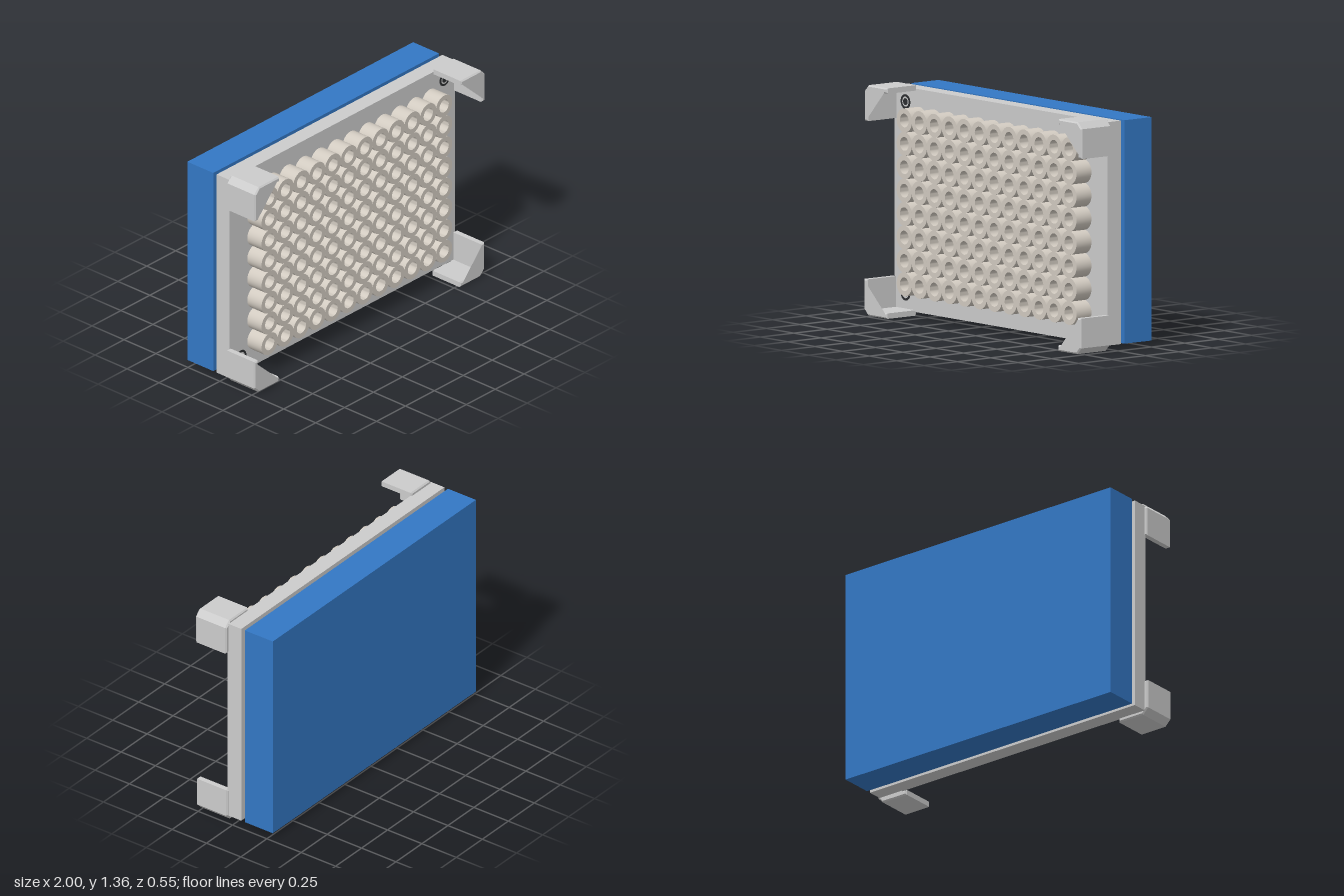
import * as THREE from 'three';
import { toCreasedNormals } from 'three/addons/utils/BufferGeometryUtils.js';

export function createModel() {
  const model = new THREE.Group();
  const mat = (color) => new THREE.MeshStandardMaterial({ color });
  const grey = mat(0xcccccc), blue = mat(0x3377c4), black = mat(0x2c2e30), beige = mat(0xd2cbc1);

  const add = (name, geometry, material, x, y, z, parent = model) => {
    const mesh = new THREE.Mesh(geometry, material);
    mesh.name = name;
    mesh.position.set(x, y, z);
    parent.add(mesh);
    return mesh;
  };

  // Ring profile spun around z, from z = 0 to z = depth
  const ring = (outer, inner, depth, segments = 32) => {
    const profile = [[outer, 0], [outer, depth], [inner, depth], [inner, 0]]
      .map(([r, h]) => new THREE.Vector2(r, h));
    const geometry = new THREE.LatheGeometry(profile, segments).rotateX(Math.PI / 2);
    return toCreasedNormals(geometry, 0.6);
  };
  const disc = (r, depth) => new THREE.CylinderGeometry(r, r, depth, 32).rotateX(Math.PI / 2);

  // Rear block and front plate
  const midY = 0.688;
  add('rearBlock', new THREE.BoxGeometry(1.953, 1.31, 0.203), blue, -0.003, midY, -0.1715);
  add('frontPlate', new THREE.BoxGeometry(1.953, 1.31, 0.1), grey, -0.003, midY, 0.006);

  // Grid of open tubes
  const tubes = new THREE.Group();
  tubes.name = 'tubeGrid';
  model.add(tubes);
  const tube = ring(0.07, 0.04, 0.112);
  const pitch = 0.1372;
  for (let row = 0; row < 8; row++) {
    for (let col = 0; col < 12; col++) {
      add('tube', tube, beige, (col - 5.5) * pitch, 0.69 + (row - 3.5) * pitch, 0.056, tubes);
    }
  }

  // Spacers joining plate and block, with a ringed screw head in front
  const spacer = disc(0.045, 0.08), rim = ring(0.043, 0.03, 0.004);
  const washer = disc(0.032, 0.004), core = disc(0.02, 0.004);
  for (const x of [-0.879, 0.881]) {
    for (const y of [0.134, 1.257]) {
      add('spacer', spacer, black, x, y, -0.04);
      add('screwRim', rim, black, x, y, 0.055);
      add('screwWasher', washer, grey, x, y, 0.0555);
      add('screwCore', core, black, x, y, 0.057);
    }
  }

  // L-shaped corner guards with a chamfered outer corner
  const arm = 0.212, thick = 0.032, cut = 0.037, bevel = 0.008;
  const guard = (x, y, sx, sy) => {
    const outline = [[cut, 0], [arm, 0], [arm, thick], [thick, thick], [thick, arm], [0, arm], [0, cut]];
    const shape = new THREE.Shape(outline.map(([u, v]) => new THREE.Vector2(-sx * u, -sy * v)));
    const geometry = new THREE.ExtrudeGeometry(shape, {
      depth: 0.225 - 2 * bevel, bevelEnabled: true, bevelSegments: 1,
      bevelThickness: bevel, bevelSize: bevel, bevelOffset: -bevel,
    });
    add('cornerGuard', geometry, grey, x, y, 0.048 + bevel);
  };
  guard(-0.996, 1.364, -1, 1);
  guard(0.997, 1.36, 1, 1);
  guard(-1, 0.012, -1, -1);
  guard(0.99, 0, 1, -1);

  return model;
}
